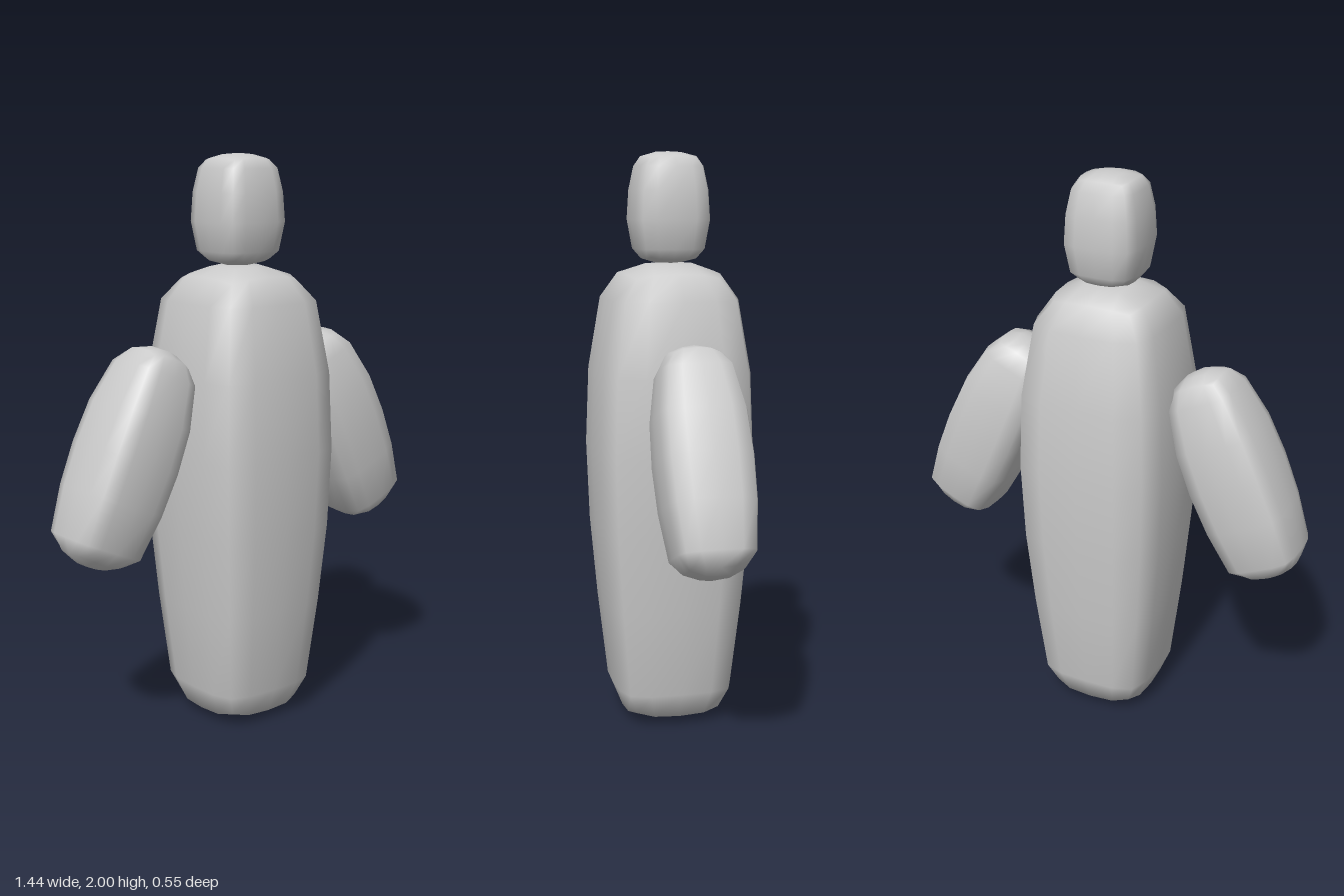
import * as THREE from 'three';
import { mergeVertices } from 'three/addons/utils/BufferGeometryUtils.js';

const material = new THREE.MeshStandardMaterial({ color: 0xcccccc });

// Pillow-like block: rows are [height, half width], bottom to top. The first and
// last rows are the cap rims; bottom and top are the heights of the cap centres.
function softBlock(name, rows, bottom, top, depthRatio = 1) {
  const last = rows.length - 1;
  const box = new THREE.BoxGeometry(2, 2, 2, 4, last, 4);
  box.deleteAttribute('uv');
  box.deleteAttribute('normal');
  const geometry = mergeVertices(box);
  const pos = geometry.attributes.position;
  for (let i = 0; i < pos.count; i++) {
    const u = pos.getX(i), w = pos.getZ(i);
    const row = Math.round((pos.getY(i) + 1) / 2 * last);
    const ring = Math.max(Math.abs(u), Math.abs(w));
    const corner = Math.min(Math.abs(u), Math.abs(w)) / (ring || 1);
    let [y, half] = rows[row];
    const isCap = row === 0 || row === last;
    if (isCap) {
      const centre = row === 0 ? bottom : top;
      // Cap centre and inner ring are nearly flat; rim corners sink inwards
      if (ring < 0.9) y = centre + (y - centre) * 0.3 * ring * (1 + corner);
      else y += (y - centre) * 0.5 * corner * corner;
    }
    // Rounded square section
    const pull = 1 - 0.14 * corner * corner;
    const spread = corner === 0.5 ? 1.08 : 1;
    const shape = (a) => {
      const major = Math.abs(a) >= ring - 1e-6;
      return a * half * pull * (major ? 1.0 + (spread - 1) * 0.2 : spread);
    };
    pos.setXYZ(i, shape(u), y, shape(w) * depthRatio);
  }
  geometry.computeVertexNormals();
  const mesh = new THREE.Mesh(geometry, material);
  mesh.name = name;
  return mesh;
}

export function createModel() {
  const group = new THREE.Group();
  group.name = 'figure';

  // Tall tapered body
  const body = softBlock('body', [
    [0.03, 0.17], [0.12, 0.205], [0.42, 0.238], [0.7, 0.262], [0.98, 0.272],
    [1.25, 0.262], [1.5, 0.222], [1.59, 0.165],
  ], 0, 1.625, 1.01);
  body.position.x = 0.01;
  group.add(body);

  // Head
  const head = softBlock('head', [
    [1.635, 0.09], [1.67, 0.117], [1.77, 0.134], [1.87, 0.128], [1.95, 0.112], [1.985, 0.09],
  ], 1.62, 2);
  head.position.x = 0.008;
  group.add(head);

  // Arms, slanting outwards
  for (const side of [1, -1]) {
    const arm = softBlock(side > 0 ? 'leftArm' : 'rightArm', [
      [-0.36, 0.092], [-0.31, 0.129], [-0.15, 0.147], [0, 0.152],
      [0.15, 0.146], [0.3, 0.12], [0.36, 0.088],
    ], -0.385, 0.385, 1.02);
    arm.position.set(side * 0.477, 1.005, 0);
    arm.rotation.z = side * THREE.MathUtils.degToRad(24);
    group.add(arm);
  }
  return group;
}
